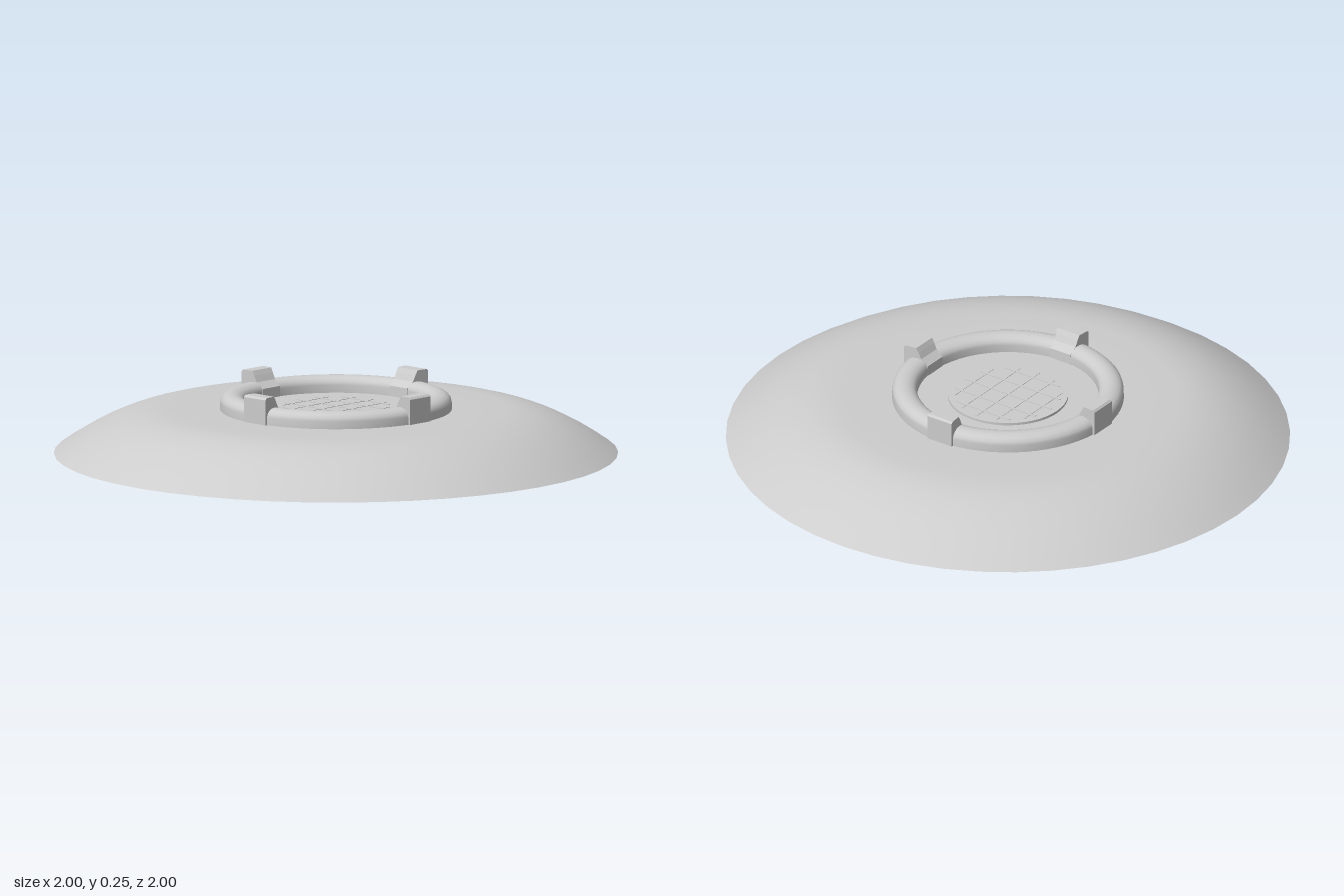
import * as THREE from 'three';

const grey = new THREE.MeshStandardMaterial({ color: 0xcccccc, side: THREE.DoubleSide });
grey.name = 'grey';

function add(parent, name, geometry, x = 0, y = 0, z = 0) {
  const mesh = new THREE.Mesh(geometry, grey);
  mesh.name = name;
  mesh.position.set(x, y, z);
  parent.add(mesh);
  return mesh;
}

const points = (list) => list.map(([x, y]) => new THREE.Vector2(x, y));

export function createModel() {
  const model = new THREE.Group();
  model.name = 'dome';

  // Hollow shallow shell with a flat top
  const shell = points([[1, 0], [0.95, 0.034], [0.9, 0.065], [0.85, 0.092], [0.8, 0.115],
    [0.75, 0.133], [0.7, 0.146], [0.65, 0.154], [0.6, 0.157], [0.5, 0.158], [0, 0.158]]);
  add(model, 'shell', new THREE.LatheGeometry(shell, 48));

  // Thin square plate under the flat top
  add(model, 'mountingPlate', new THREE.BoxGeometry(0.94, 0.004, 0.94), 0, 0.122, 0);

  // Raised ring with a rounded top
  const ring = [[0.325, 0.118], [0.409, 0.118], [0.411, 0.15], [0.41, 0.185]];
  for (let i = 1; i <= 8; i++) {
    const a = (i / 8) * Math.PI;
    ring.push([0.366 + 0.044 * Math.cos(a), 0.185 + 0.031 * Math.sin(a)]);
  }
  ring.push([0.322, 0.15], [0.325, 0.118]);
  add(model, 'ring', new THREE.LatheGeometry(points(ring), 64));

  // Four clamps gripping the ring, widening outwards
  const clampShape = new THREE.Shape(points([[0.34, 0.088], [0.395, 0.088], [0.415, 0.11],
    [0.415, 0.248], [0.408, 0.255], [0.366, 0.255], [0.356, 0.238], [0.345, 0.216],
    [0.318, 0.195], [0.315, 0.11]]));
  const clampGeometry = new THREE.ExtrudeGeometry(clampShape, { depth: 0.106, bevelEnabled: false });
  clampGeometry.translate(0, 0, -0.053);
  const p = clampGeometry.attributes.position;
  for (let i = 0; i < p.count; i++) p.setZ(i, p.getZ(i) * (0.82 + 1.8 * (p.getX(i) - 0.315)));
  clampGeometry.computeVertexNormals();
  for (let i = 0; i < 4; i++) add(model, 'clamp', clampGeometry).rotation.y = i * Math.PI / 2;

  // Central disc
  add(model, 'centreDisc', new THREE.CylinderGeometry(0.213, 0.213, 0.05, 48), 0, 0.142, 0);

  // Faint lattice on the disc
  for (let i = -2; i <= 2; i++) {
    const offset = i * 0.075;
    const length = 2 * Math.sqrt(0.19 ** 2 - offset ** 2);
    add(model, 'latticeBar', new THREE.BoxGeometry(0.008, 0.002, length), offset, 0.168, 0);
    add(model, 'latticeBar', new THREE.BoxGeometry(length, 0.002, 0.008), 0, 0.1675, offset);
  }
  return model;
}
